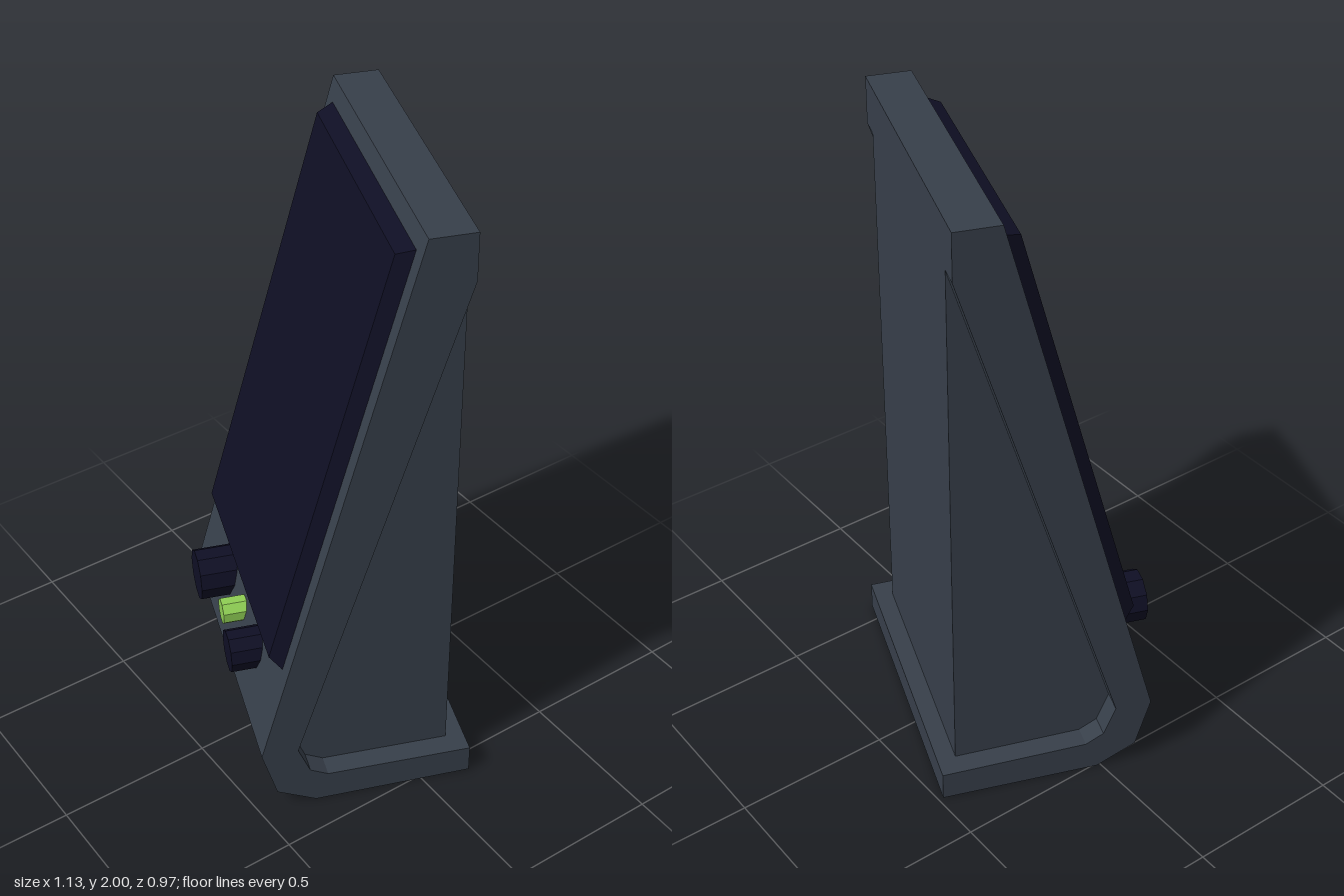
import * as THREE from 'three';

const material = (name, color) => {
  const m = new THREE.MeshStandardMaterial({ color });
  m.name = name;
  return m;
};

export function createModel() {
  const casing = material('slate casing', 0x373f4a);
  const glass = material('dark navy', 0x0f0f24);
  const lime = material('lime green', 0x8fce54);

  const model = new THREE.Group();
  model.name = 'kiosk';
  const turned = new THREE.Group();
  turned.name = 'turnedKiosk';
  turned.rotation.y = THREE.MathUtils.degToRad(-20.4);
  model.add(turned);

  const add = (name, geometry, mat, parent = turned) => {
    const mesh = new THREE.Mesh(geometry, mat);
    mesh.name = name;
    parent.add(mesh);
    return mesh;
  };

  // Extrudes a side profile of [z, y] points across the width
  const sideExtrude = (points, width) => {
    const shape = new THREE.Shape(points.map(([z, y]) => new THREE.Vector2(z, y)));
    return new THREE.ExtrudeGeometry(shape, { depth: width, bevelEnabled: false })
      .translate(0, 0, -width / 2)
      .rotateY(-Math.PI / 2);
  };

  // Full-width frame: base, sloping front and top
  const outer = [[-0.337, 0], [0.166, 0], [0.29, 0.064], [0.337, 0.228], [-0.141, 2], [-0.28, 2]];
  const inner = [[-0.28, 1.85], [0.222, 0.228], [0.184, 0.133], [0.127, 0.102]];
  add('frame', sideExtrude([...outer, ...inner, [-0.337, 0.095]], 0.96), casing);

  // Narrower body filling the frame
  add('body', sideExtrude([...inner, [-0.278, 0.095]], 0.82), casing);

  // Bevelled screen lying on the sloping front
  const slope = Math.atan2(0.478, 1.772);
  const screenHeight = 1.46, screenWidth = 0.856, thickness = 0.046;
  const screenGeo = new THREE.BoxGeometry(screenWidth, screenHeight, thickness).toNonIndexed();
  const p = screenGeo.attributes.position;
  for (let i = 0; i < p.count; i++) {
    if (p.getZ(i) > 0) {
      p.setX(i, p.getX(i) - Math.sign(p.getX(i)) * 0.02);
      p.setY(i, p.getY(i) - Math.sign(p.getY(i)) * 0.03);
    }
  }
  screenGeo.computeVertexNormals();
  const screen = add('screen', screenGeo, glass);
  const midY = 1.235;
  const midZ = 0.337 - (midY - 0.228) * Math.tan(slope);
  screen.rotation.x = -slope;
  screen.position.set(0, midY + Math.sin(slope) * thickness / 2, midZ + Math.cos(slope) * thickness / 2);

  // Faceted control knobs: name, x, radius, front z, sides, colour
  [
    ['rightKnob', -0.191, 0.084, 0.393, 10, glass],
    ['centreButton', 0.004, 0.043, 0.354, 8, lime],
    ['leftKnob', 0.19, 0.068, 0.375, 10, glass],
  ].forEach(([name, x, radius, front, sides, mat]) => {
    const length = front - 0.22;
    const geo = new THREE.CylinderGeometry(radius, radius, length, sides)
      .rotateY(Math.PI / sides)
      .rotateX(Math.PI / 2)
      .toNonIndexed();
    geo.computeVertexNormals();
    add(name, geo, mat).position.set(x, 0.42, front - length / 2);
  });

  return model;
}
